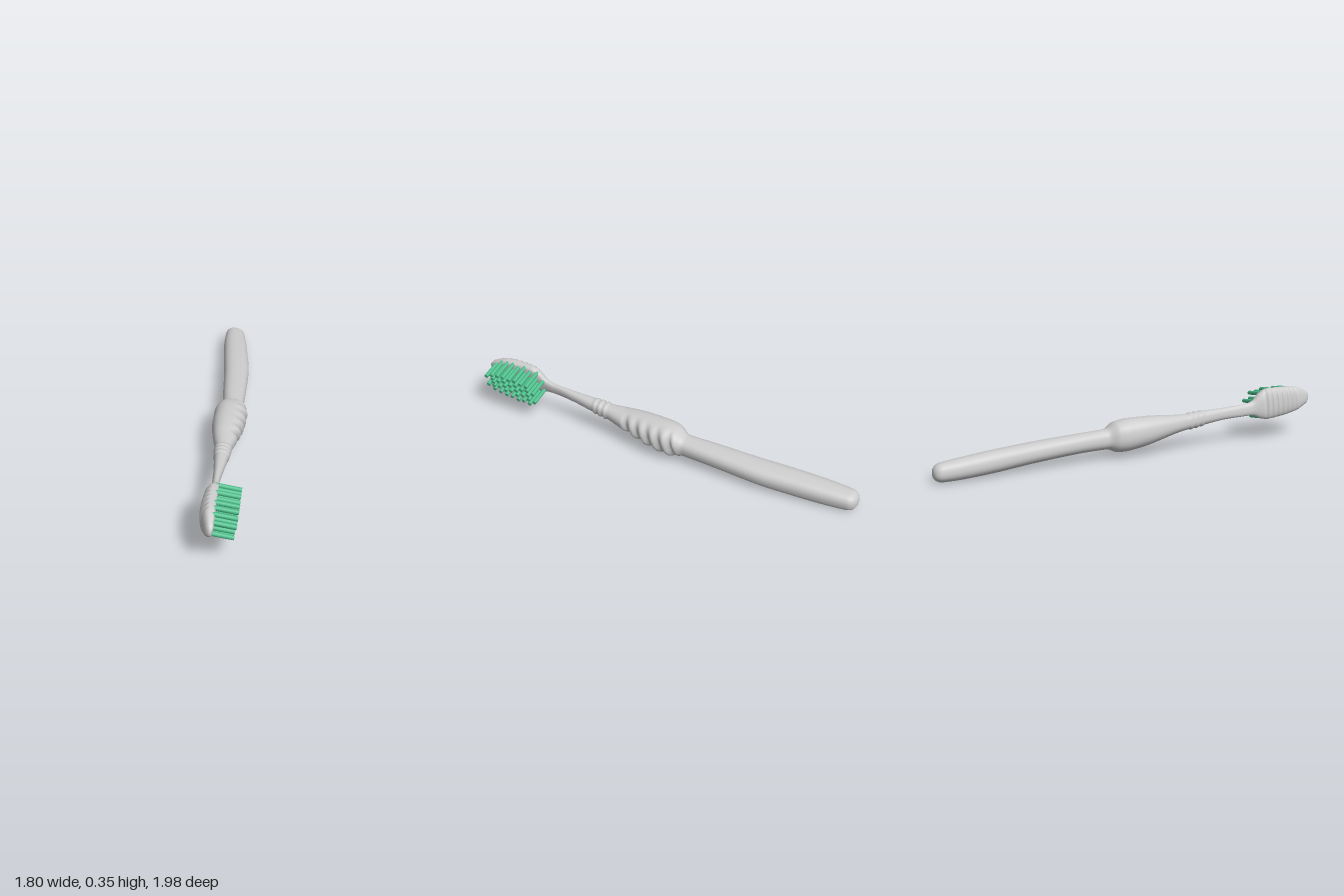
import * as THREE from 'three';
import { mergeGeometries } from 'three/addons/utils/BufferGeometryUtils.js';

const ROLL = 0.19; // the whole brush leans a little about its long axis

// Section keys: [s along brush, centre height, back z, front z, half height, front roundness]
const KEYS = [
  [-1.28, 0.272, -0.025, 0.005, 0.028, 0.5],
  [-1.24, 0.271, -0.045, 0.006, 0.05, 0.45],
  [-1.15, 0.268, -0.072, 0.006, 0.083, 0.4],
  [-1.05, 0.261, -0.082, 0.006, 0.095, 0.4],
  [-0.95, 0.254, -0.076, 0.006, 0.1, 0.4],
  [-0.9, 0.246, -0.062, 0.004, 0.085, 0.5],
  [-0.84, 0.232, -0.045, 0.0, 0.046, 0.7],
  [-0.78, 0.226, -0.042, 0.0, 0.039, 0.85],
  [-0.65, 0.22, -0.043, 0.012, 0.038, 0.9],
  [-0.5, 0.209, -0.052, 0.03, 0.045, 0.9],
  [-0.38, 0.196, -0.057, 0.04, 0.05, 0.9],
  [-0.28, 0.187, -0.074, 0.062, 0.06, 0.9],
  [-0.18, 0.178, -0.089, 0.085, 0.078, 0.9],
  [-0.05, 0.164, -0.1, 0.105, 0.096, 0.9],
  [0.06, 0.155, -0.1, 0.112, 0.103, 0.85],
  [0.12, 0.15, -0.09, 0.107, 0.097, 0.85],
  [0.19, 0.142, -0.056, 0.079, 0.064, 0.8],
  [0.35, 0.136, -0.064, 0.083, 0.062, 0.75],
  [0.65, 0.117, -0.08, 0.086, 0.065, 0.75],
  [0.95, 0.092, -0.105, 0.06, 0.069, 0.75],
  [1.15, 0.076, -0.115, 0.036, 0.065, 0.75],
  [1.308, 0.066, -0.113, 0.012, 0.055, 0.75],
];

// Smooth interpolation of the keys without overshoot
function sectionAt(s) {
  let i = 0;
  while (i < KEYS.length - 2 && s > KEYS[i + 1][0]) i++;
  const a = KEYS[i], b = KEYS[i + 1], d = b[0] - a[0];
  const t = THREE.MathUtils.clamp((s - a[0]) / d, 0, 1);
  const slope = (k, c) => (KEYS[k + 1][c] - KEYS[k][c]) / (KEYS[k + 1][0] - KEYS[k][0]);
  const tangent = (k, c) => {
    if (k === 0) return slope(0, c);
    if (k === KEYS.length - 1) return slope(k - 1, c);
    const p = slope(k - 1, c), q = slope(k, c);
    return p * q <= 0 ? 0 : (2 * p * q) / (p + q);
  };
  return a.map((v, c) => c === 0 ? s :
    (2 * t ** 3 - 3 * t * t + 1) * v + (t ** 3 - 2 * t * t + t) * d * tangent(i, c) +
    (3 * t * t - 2 * t ** 3) * b[c] + (t ** 3 - t * t) * d * tangent(i + 1, c));
}

const spow = (v, e) => Math.sign(v) * Math.abs(v) ** e;
const wave = (s, start, pitch) => 0.5 - 0.5 * Math.cos(((s - start) / pitch) * Math.PI * 2);
const inside = (s, a, b) => THREE.MathUtils.smoothstep(s, a, a + 0.025) * (1 - THREE.MathUtils.smoothstep(s, b - 0.025, b));
const lean = (s, yc, dy, z) => [
  s, yc + dy * Math.cos(ROLL) - z * Math.sin(ROLL), dy * Math.sin(ROLL) + z * Math.cos(ROLL)];

// Handle, grip, neck and head as one loft
function bodyGeometry() {
  const rows = 400, sides = 48, pos = [], index = [];
  const s0 = KEYS[0][0], s1 = KEYS[KEYS.length - 1][0];
  for (let i = 0; i <= rows; i++) {
    const s = (s0 + s1) / 2 - ((s1 - s0) / 2) * Math.cos((i / rows) * Math.PI);
    const [, yc, back, front, h, round] = sectionAt(s);
    // rounded closing at both ends
    const t = Math.max(0, 1 - (s - s0) / 0.03, 1 - (s1 - s) / 0.06);
    const cap = Math.max(0, 1 - t ** 2.4) ** (1 / 2.4);
    // raised rings on the neck
    const ring = 1 + 0.16 * inside(s, -0.49, -0.37) * wave(s, -0.49, 0.04);
    for (let j = 0; j <= sides; j++) {
      const a = (j / sides) * Math.PI * 2, c = Math.cos(a);
      const dy = h * spow(Math.sin(a), 0.85) * cap * ring;
      let z = spow(c, c > 0 ? round : 0.85) * ((front - back) / 2) * cap * ring;
      // finger grooves on the front of the grip, fine ridges on the back of the head
      const q = s + 0.25 * dy;
      if (c > 0) z -= 0.022 * Math.sqrt(c) * inside(q, -0.26, 0.15) * wave(q, -0.25, 0.082);
      else z += 0.01 * Math.sqrt(-c) * inside(s, -1.17, -0.91) * wave(s, -1.17, 0.037);
      pos.push(...lean(s, yc, dy, (front + back) / 2 + z));
    }
  }
  for (let i = 0; i < rows; i++) {
    for (let j = 0; j < sides; j++) {
      const a = i * (sides + 1) + j, b = a + sides + 1;
      index.push(a, b, b + 1, a, b + 1, a + 1);
    }
  }
  const g = new THREE.BufferGeometry();
  g.setAttribute('position', new THREE.Float32BufferAttribute(pos, 3));
  g.setIndex(index);
  g.computeVertexNormals();
  // share the normals along the seam
  const n = g.attributes.normal;
  for (let i = 0; i <= rows; i++) {
    const a = i * (sides + 1), b = a + sides;
    const v = new THREE.Vector3().fromBufferAttribute(n, a).add(new THREE.Vector3().fromBufferAttribute(n, b)).normalize();
    n.setXYZ(a, v.x, v.y, v.z);
    n.setXYZ(b, v.x, v.y, v.z);
  }
  return g;
}

// Staggered rows of round tufts
function bristleGeometry() {
  const tufts = [], columns = 9, length = 0.15;
  for (let i = 0; i < columns; i++) {
    const s = -1.225 + i * 0.0445;
    const [, yc, , , h] = sectionAt(s);
    const count = i === 0 || i === columns - 1 ? 2 : i % 2 ? 5 : 4;
    const span = Math.min(h - 0.014, count * 0.0185);
    for (let k = 0; k < count; k++) {
      const dy = span * ((2 * k) / (count - 1) - 1);
      const g = new THREE.CylinderGeometry(0.0135, 0.0135, length, 10);
      g.rotateX(Math.PI / 2 + ROLL);
      g.translate(...lean(s, yc, dy, 0.127 - length / 2));
      tufts.push(g);
    }
  }
  return mergeGeometries(tufts);
}

export function createModel() {
  const model = new THREE.Group();
  model.name = 'toothbrush';
  const body = new THREE.Mesh(bodyGeometry(), new THREE.MeshStandardMaterial({ color: 0xcccccc }));
  body.name = 'handleAndHead';
  const bristles = new THREE.Mesh(bristleGeometry(), new THREE.MeshStandardMaterial({ color: 0x4fc08d }));
  bristles.name = 'bristles';
  // the brush lies diagonally
  const brush = new THREE.Group();
  brush.name = 'brush';
  brush.rotation.y = 0.802;
  brush.add(body, bristles);
  model.add(brush);
  return model;
}
